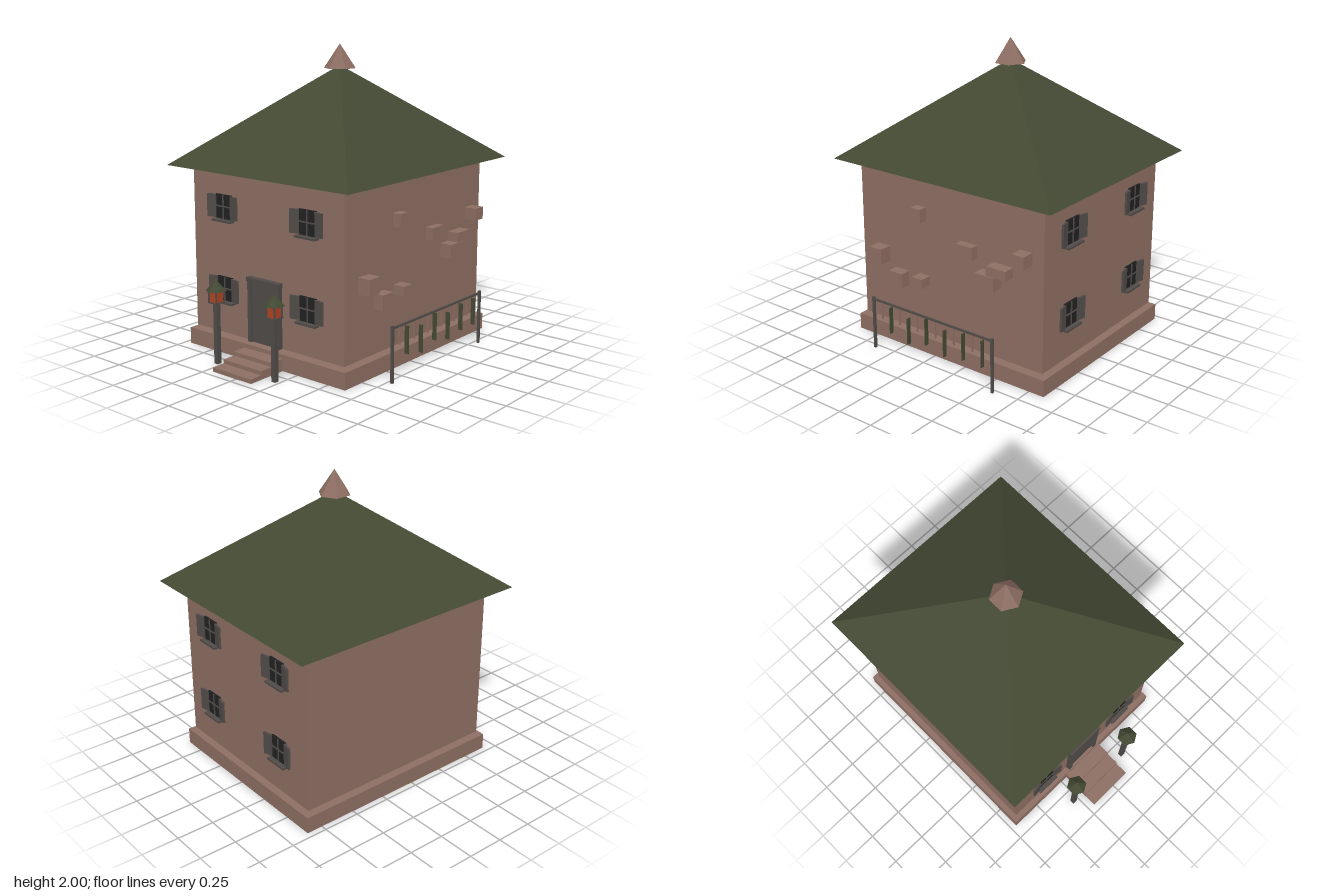
import * as THREE from 'three';

const mat = (name, color) => {
  const m = new THREE.MeshStandardMaterial({ color, flatShading: true });
  m.name = name;
  return m;
};

export function createModel() {
  const root = new THREE.Group();
  root.name = 'house';
  const brick = mat('brownStone', 0x8d6e63);
  const green = mat('mossGreen', 0x434933);
  const wood = mat('greyWood', 0x504b48);
  const glass = mat('darkGlass', 0x212121);
  const glow = mat('lampOrange', 0xb0431f);

  const group = (name, parent = root) => {
    const g = new THREE.Group();
    g.name = name;
    parent.add(g);
    return g;
  };
  const add = (name, geo, m, parent = root) => {
    const mesh = new THREE.Mesh(geo, m);
    mesh.name = name;
    parent.add(mesh);
    return mesh;
  };
  // Box given by its minimum and maximum on each axis
  const box = (name, m, x0, x1, y0, y1, z0, z1, parent) => {
    const geo = new THREE.BoxGeometry(x1 - x0, y1 - y0, z1 - z0);
    geo.translate((x0 + x1) / 2, (y0 + y1) / 2, (z0 + z1) / 2);
    return add(name, geo, m, parent);
  };

  // Foundation, walls and roof
  const cx = -0.037, cz = -0.098;
  box('foundation', brick, -0.71, 0.635, 0, 0.11, -0.86, 0.665);
  box('walls', brick, -0.675, 0.6, 0.13, 1.222, -0.825, 0.63);
  const roof = new THREE.ConeGeometry(Math.SQRT1_2, 0.638, 4);
  roof.rotateY(Math.PI / 4).scale(1.525, 1, 1.7).translate(cx, 1.541, cz);
  add('roof', roof, green);
  const cap = new THREE.ConeGeometry(0.106, 0.16, 6);
  add('roofCap', cap.translate(cx, 1.92, cz), brick);

  // Front steps
  [[0.95, 0.028], [0.857, 0.055], [0.765, 0.082]].forEach(([z, y], i) =>
    box('step' + (i + 1), brick, -0.2, 0.128, 0, y, 0.66, z));

  // Door with frame
  const door = group('door');
  box('doorPanel', wood, -0.145, 0.07, 0.13, 0.535, 0.62, 0.648, door);
  box('doorJambRight', wood, -0.172, -0.143, 0.13, 0.535, 0.62, 0.663, door);
  box('doorJambLeft', wood, 0.068, 0.097, 0.13, 0.535, 0.62, 0.663, door);
  box('doorLintel', wood, -0.178, 0.103, 0.533, 0.56, 0.62, 0.667, door);

  // Window: local origin at the pane centre on the wall face
  const makeWindow = () => {
    const w = group('window');
    box('pane', glass, -0.067, 0.067, -0.08, 0.08, -0.01, 0.012, w);
    box('mullion', wood, -0.004, 0.004, -0.08, 0.08, 0.01, 0.018, w);
    box('transom', wood, -0.067, 0.067, -0.001, 0.007, 0.01, 0.018, w);
    box('sill', wood, -0.083, 0.083, -0.096, -0.082, -0.01, 0.042, w);
    for (const s of [-1, 1]) {
      const hinge = group('shutter', w);
      hinge.position.set(s * 0.064, 0, 0.012);
      hinge.rotation.y = -s * 0.2;
      box('shutterBoard', wood, Math.min(0, s * 0.068), Math.max(0, s * 0.068),
        -0.075, 0.077, -0.007, 0.007, hinge);
    }
    return w;
  };
  for (const x of [-0.394, 0.32]) {
    for (const y of [0.434, 0.98]) {
      makeWindow().position.set(x, y, 0.63);
      const back = makeWindow();
      back.position.set(x, y, -0.825);
      back.rotation.y = Math.PI;
    }
  }

  // Protruding stones on the left wall: z0, z1, y0, y1, outer x
  const stones = group('wallStones');
  [
    [0.082, 0.157, 0.91, 1.0, 0.66], [-0.327, -0.2, 0.76, 0.845, 0.655],
    [-0.6, -0.455, 0.705, 0.77, 0.68], [-0.515, -0.37, 0.612, 0.705, 0.685],
    [-0.74, -0.652, 0.82, 0.902, 0.69], [0.4, 0.5, 0.555, 0.66, 0.69],
    [0.24, 0.347, 0.425, 0.525, 0.672], [0.06, 0.145, 0.474, 0.537, 0.683],
  ].forEach(([z0, z1, y0, y1, x]) => box('stone', brick, 0.59, x, y0, y1, z0, z1, stones));

  // Lamp posts with framed lanterns
  for (const x of [-0.286, 0.212]) {
    const lamp = group('lampPost');
    lamp.position.set(x, 0, 0.825);
    box('post', wood, -0.016, 0.016, 0, 0.402, -0.016, 0.016, lamp);
    box('light', glow, -0.029, 0.029, 0.412, 0.48, -0.029, 0.029, lamp);
    for (const z of [-0.035, 0.035]) {
      const frame = group('lanternFrame', lamp);
      const [a, b] = [z - 0.003, z + 0.003];
      box('frameSide', wood, -0.039, -0.028, 0.404, 0.488, a, b, frame);
      box('frameSide', wood, 0.028, 0.039, 0.404, 0.488, a, b, frame);
      box('frameBottom', wood, -0.028, 0.028, 0.404, 0.413, a, b, frame);
      box('frameTop', wood, -0.028, 0.028, 0.478, 0.488, a, b, frame);
    }
    const hat = new THREE.ConeGeometry(0.069, 0.07, 6);
    add('lanternRoof', hat.translate(0, 0.521, 0), green, lamp);
  }

  // Hanging rack beside the left wall
  const rack = group('hangingRack');
  for (const z of [0.39, -0.58])
    box('rackPost', wood, 0.772, 0.788, 0, 0.365, z - 0.008, z + 0.008, rack);
  box('rackRail', wood, 0.774, 0.786, 0.344, 0.356, -0.58, 0.39, rack);
  const drops = [0.149, 0.117, 0.159, 0.125, 0.149, 0.149];
  for (let i = 0; i < 12; i++) {
    const z = 0.316 - i * 0.0746;
    if (i % 2 === 0) {
      box('strap', brick, 0.775, 0.785, 0.229, 0.346, z - 0.004, z + 0.004, rack);
    } else {
      const y = drops[(i - 1) / 2];
      box('hangingCloth', green, 0.766, 0.794, y, y + 0.181, z - 0.004, z + 0.004, rack);
    }
  }
  return root;
}
